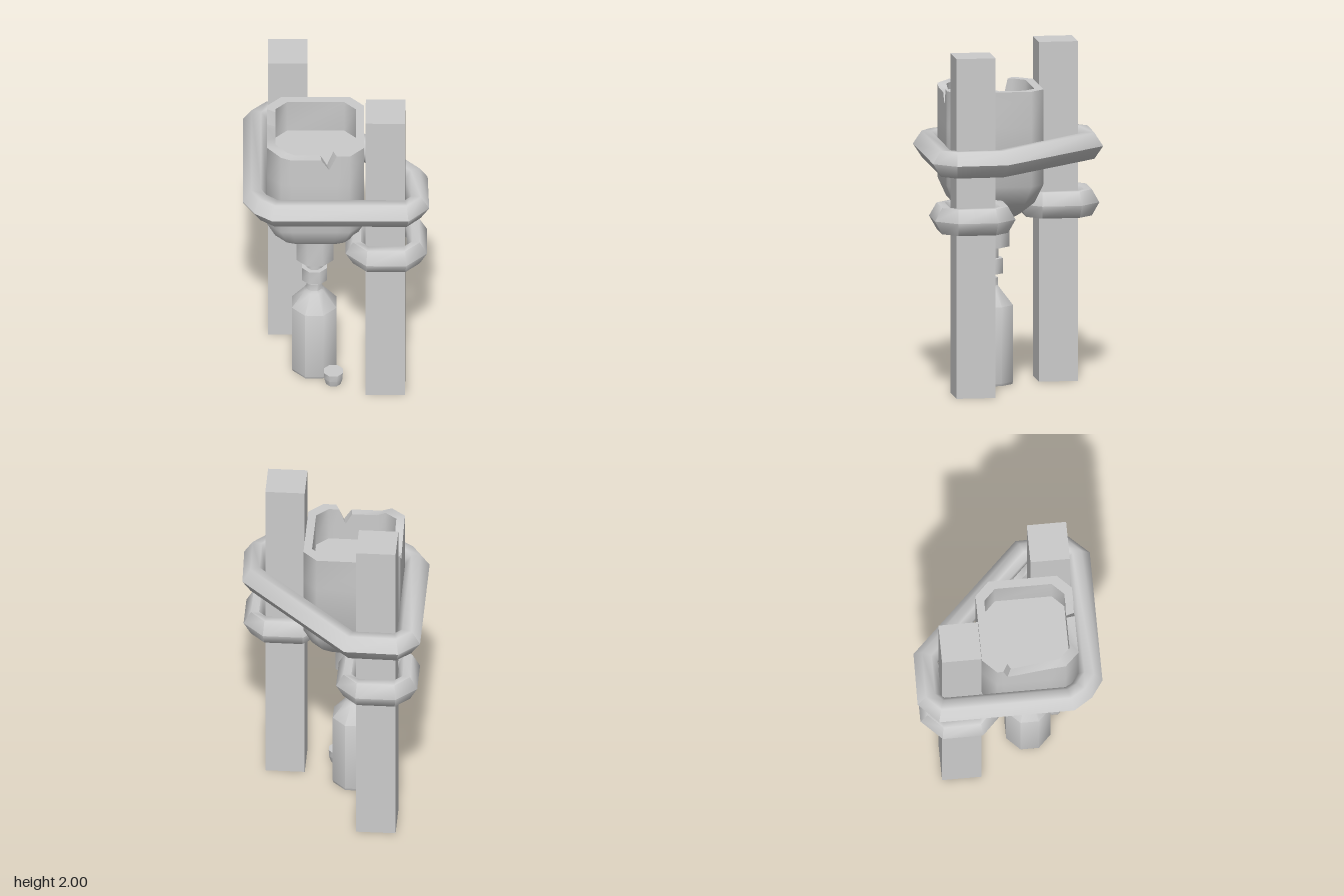
import * as THREE from 'three';
import { toCreasedNormals } from 'three/addons/utils/BufferGeometryUtils.js';

const grey = new THREE.MeshStandardMaterial({ color: 0xcccccc, side: THREE.DoubleSide });

// Skin a list of closed rings (arrays of [x, y, z]); wrap joins the last ring to the first
function skin(rings, wrap = false, crease = 0.95) {
  const n = rings[0].length, m = rings.length, index = [];
  for (let i = 0; i < (wrap ? m : m - 1); i++) {
    for (let j = 0; j < n; j++) {
      const k = (j + 1) % n, u = (i + 1) % m;
      const a = i * n + j, b = u * n + j, c = i * n + k, d = u * n + k;
      index.push(a, b, c, c, b, d);
    }
  }
  const g = new THREE.BufferGeometry();
  g.setAttribute('position', new THREE.Float32BufferAttribute(rings.flat(2), 3));
  g.setIndex(index);
  return toCreasedNormals(g, crease);
}

// Regular octagonal turned part: profile of [half width, y]
function turned(profile) {
  const rings = profile.map(([h, y]) => Array.from({ length: 8 }, (_, i) => {
    const a = (i + 0.5) * Math.PI / 4, r = h / Math.cos(Math.PI / 8);
    return [r * Math.cos(a), y, r * Math.sin(a)];
  }));
  return skin(rings, false, 0.8);
}

// Padded strap between an outer and an inner outline, with a six-sided section
function strap(outer, inner, y, h) {
  const section = [[0, 0], [0.36, 1], [0.75, 1], [1, 0.3], [1, -0.3], [0.75, -1], [0.36, -1]];
  const rings = section.map(([t, v]) => outer.map(([x, z], i) => [
    x + (inner[i][0] - x) * t, y + v * h, z + (inner[i][1] - z) * t]));
  return skin(rings, true, 1.1);
}

// Square outline with cut corners
function cutSquare(h, c) {
  const k = h - c;
  return [[h, -k], [h, k], [k, h], [-k, h], [-h, k], [-h, -k], [-k, -h], [k, -h]];
}

export function createModel() {
  const model = new THREE.Group();
  const add = (name, geometry, x = 0, y = 0, z = 0) => {
    const mesh = new THREE.Mesh(geometry, grey);
    mesh.name = name;
    mesh.position.set(x, y, z);
    model.add(mesh);
  };

  // Two posts, each with its own low strap
  for (const s of [-1, 1]) {
    const side = s > 0 ? 'front' : 'back';
    add(side + 'Post', new THREE.BoxGeometry(0.23, 2, 0.23), s * 0.285, 1, s * 0.285);
    add(side + 'PostStrap', strap(cutSquare(0.237, 0.12), cutSquare(0.118, 0.02), 0, 0.077),
      s * 0.29, 1.048, s * 0.29);
  }

  // Large strap around both posts and the reservoir
  add('largeStrap', strap(
    [[-0.545, -0.43], [-0.425, -0.545], [-0.11, -0.54], [0.53, 0.115], [0.54, 0.415],
      [0.42, 0.54], [-0.375, 0.54], [-0.475, 0.47], [-0.545, 0.36]],
    [[-0.405, -0.385], [-0.385, -0.405], [-0.17, -0.405], [0.4, 0.17], [0.403, 0.39],
      [0.39, 0.403], [-0.33, 0.403], [-0.385, 0.36], [-0.405, 0.32]], 1.388, 0.077));

  // Reservoir: upturned cut-off bottle; rim points are [x, z, rim height]
  const H = 0.282, rim = [
    [H, -0.2, 1.76], [H, 0.2, 1.76], [0.2, H, 1.76],
    [0.125, H, 1.76], [0.08, H, 1.66], [0.035, H, 1.73], [-0.14, H, 1.73], [-0.2, H, 1.75],
    [-H, 0.2, 1.76], [-H, 0.1, 1.74], [-H, -0.09, 1.68], [-H, -0.14, 1.67], [-H, -0.165, 1.76],
    [-H, -0.2, 1.76], [-0.2, -H, 1.76], [0.2, -H, 1.76]];
  const level = (half, y) => rim.map(([x, z, top]) => [x * half / H, y ?? top, z * half / H]);
  add('reservoir', skin([
    level(0.085, 0.95), level(0.09, 0.97), level(0.16, 1.02), level(0.235, 1.09), level(H, 1.2),
    level(H, 1.55), level(H), level(0.234), level(0.234, 1.55), level(0, 1.55)]), -0.122, 0, 0.122);

  // Reservoir neck, spout and collar
  add('neck', turned([[0, 0.815], [0.108, 0.815], [0.108, 0.99], [0, 0.99]]), -0.125, 0, 0.125);
  add('spout', turned([[0, 0.73], [0.048, 0.73], [0.048, 0.83], [0, 0.83]]), -0.128, 0, 0.125);
  add('collar', turned([[0, 0.655], [0.073, 0.655], [0.073, 0.745], [0, 0.745]]), -0.128, 0, 0.125);

  // Collecting bottle and its loose cap
  add('bottle', turned([[0, 0.005], [0.125, 0.005], [0.13, 0.02], [0.13, 0.47], [0.055, 0.57],
    [0.045, 0.585], [0.045, 0.63], [0, 0.63]]), -0.13, 0, 0.125);
  add('bottleCap', turned([[0, 0.008], [0.042, 0.008], [0.053, 0.05], [0.055, 0.092], [0, 0.092]]),
    -0.018, 0, 0.29);

  return model;
}
